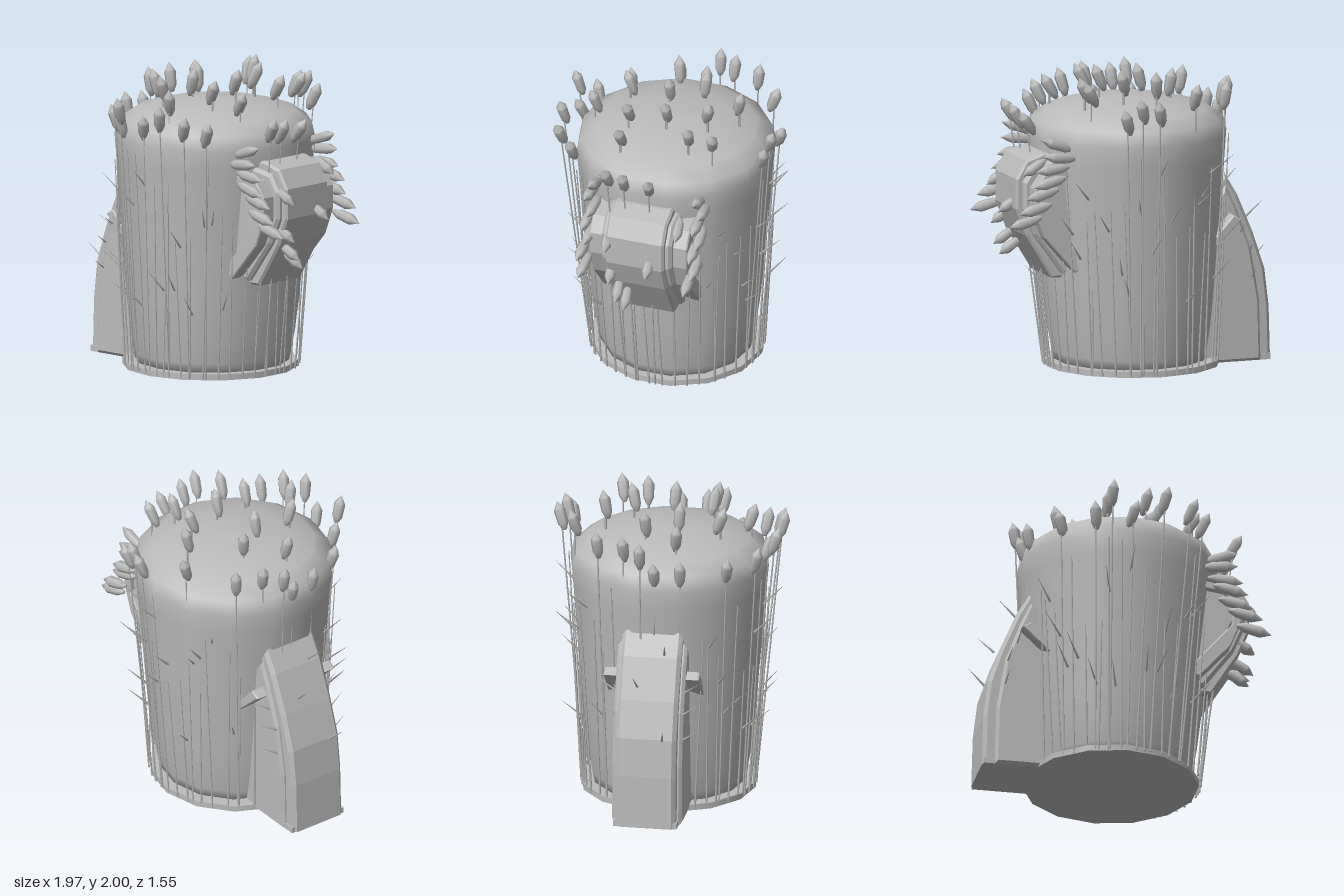
import * as THREE from 'three';

export function createModel() {
  const root = new THREE.Group();
  const grey = new THREE.MeshStandardMaterial({ color: 0xbbbbbb });
  grey.name = 'plain grey';
  const up = new THREE.Vector3(0, 1, 0);
  const V = (x, y, z) => new THREE.Vector3(x, y, z);

  let seed = 7;
  const rand = (a, b) => {
    seed = (seed * 16807) % 2147483647;
    return a + (b - a) * (seed / 2147483647);
  };
  const add = (geo, name, parent = root) => {
    const m = new THREE.Mesh(geo, grey);
    m.name = name;
    parent.add(m);
    return m;
  };
  const group = (name) => {
    const g = new THREE.Group();
    g.name = name;
    root.add(g);
    return g;
  };

  // Trunk: smooth lathe, drawn in at the foot and leaning slightly towards +x
  const profile = [[0, 0.03], [0.5, 0.03], [0.515, 0.1], [0.54, 0.25], [0.567, 0.5], [0.61, 1],
    [0.643, 1.4], [0.655, 1.53], [0.632, 1.63], [0.53, 1.7], [0.36, 1.745], [0.18, 1.77], [0, 1.78]];
  const trunk = new THREE.LatheGeometry(profile.map(([r, y]) => new THREE.Vector2(r, y)), 14);
  const p = trunk.attributes.position;
  const lean = (y) => 0.005 + 0.016 * y;
  for (let i = 0; i < p.count; i++) p.setXYZ(i, p.getX(i) + lean(p.getY(i)), p.getY(i), p.getZ(i) + 0.015);
  add(trunk, 'trunk');

  // Point on the straight cone around the trunk, where stalks stand
  const onCone = (a, y, gap = 0) => {
    const r = 0.57 + 0.062 * y + gap;
    return V(lean(y) + Math.cos(a) * r, y, 0.015 + Math.sin(a) * r);
  };

  // Base plate
  const plate = add(new THREE.CylinderGeometry(0.575, 0.575, 0.04, 14), 'basePlate');
  plate.position.set(-0.01, 0.02, 0.015);

  // Bevelled slab cut from a side profile, centred across z
  const slab = (name, points, width, z, bevel) => {
    const geo = new THREE.ExtrudeGeometry(
      new THREE.Shape(points.map(([x, y]) => new THREE.Vector2(x, y))),
      { depth: width - 2 * bevel, bevelEnabled: true, bevelThickness: bevel, bevelSize: bevel,
        bevelOffset: -bevel, bevelSegments: 1 });
    geo.translate(0, 0, z - width / 2 + bevel);
    return add(geo, name);
  };

  // Tall buttress on the right side
  slab('buttressRidge', [[-0.4, 0], [-0.4, 1.05], [-0.48, 1.12], [-0.58, 1.25], [-0.67, 1.1],
    [-0.78, 0.84], [-0.86, 0.6], [-0.89, 0.35], [-0.9, 0]], 0.4, 0.01, 0.025);
  slab('buttressStep', [[-0.4, 0], [-0.4, 0.95], [-0.48, 1.05], [-0.58, 1.17], [-0.65, 1.02],
    [-0.75, 0.75], [-0.81, 0.4], [-0.82, 0]], 0.46, 0.01, 0.02);
  slab('buttressBrace', [[-0.36, 0.68], [-0.36, 0.76], [-0.46, 0.84], [-0.595, 0.99], [-0.655, 0.955]],
    0.63, 0.01, 0.008);
  const foot = add(new THREE.BoxGeometry(0.5, 0.04, 0.42), 'buttressFoot');
  foot.position.set(-0.64, 0.02, 0.01);

  // Hooked stub on the left side
  slab('stubRidge', [[0.4, 0.63], [0.62, 0.63], [0.8, 0.92], [0.87, 1.1], [0.87, 1.3], [0.8, 1.42],
    [0.68, 1.46], [0.4, 1.46]], 0.4, 0.025, 0.015);
  slab('stubStep', [[0.4, 0.67], [0.56, 0.66], [0.76, 0.93], [0.83, 1.1], [0.83, 1.28], [0.76, 1.39],
    [0.6, 1.42], [0.4, 1.42]], 0.48, 0.025, 0.02);
  slab('stubPanel', [[0.4, 0.78], [0.5, 0.78], [0.7, 1], [0.75, 1.12], [0.75, 1.24], [0.68, 1.33],
    [0.4, 1.36]], 0.6, 0.025, 0.02);
  // band wrapped round the panel's outer edge
  slab('stubBand', [[0.43, 0.73], [0.51, 0.68], [0.72, 0.92], [0.79, 1.1], [0.79, 1.25], [0.72, 1.35],
    [0.4, 1.39], [0.4, 1.34], [0.68, 1.3], [0.73, 1.22], [0.73, 1.08]], 0.67, 0.025, 0.008);

  // Tapered rod between two points
  const rod = (a, b, r0, r1, name, parent) => {
    const d = b.clone().sub(a);
    const m = add(new THREE.CylinderGeometry(r1, r0, d.length(), 4), name, parent);
    m.position.copy(a).add(b).multiplyScalar(0.5);
    m.quaternion.setFromUnitVectors(up, d.normalize());
  };

  // Pointed six-sided bud
  const budGeo = new THREE.LatheGeometry([[0, -0.1], [0.014, -0.095], [0.035, -0.05], [0.039, 0.035],
    [0.032, 0.05], [0, 0.1]].map(([r, y]) => new THREE.Vector2(r, y)), 6);
  const bud = (pos, dir, parent, width = 1, length = 1) => {
    const m = add(budGeo, 'bud', parent);
    m.position.copy(pos);
    m.quaternion.setFromUnitVectors(up, dir.clone().normalize());
    m.scale.set(width, length, width);
  };

  // Crown buds, each x, z and height
  const crown = group('crownBuds');
  [[-0.02, -0.4, 1.9], [0.15, -0.24, 1.9], [0.42, -0.36, 1.86], [0.4, -0.19, 1.86], [-0.23, -0.1, 1.86],
    [-0.39, 0.13, 1.83], [-0.09, 0.1, 1.87], [0.22, 0.02, 1.9], [0.25, 0.27, 1.87], [0.48, 0.25, 1.82],
    [-0.1, 0.37, 1.86], [0.12, 0.54, 1.82], [-0.63, -0.07, 1.78], [-0.56, -0.19, 1.8], [-0.51, -0.37, 1.8],
    [-0.6, 0.02, 1.64], [-0.59, 0.19, 1.66], [-0.43, 0.47, 1.64], [-0.23, 0.63, 1.65], [-0.14, 0.74, 1.76],
    [0.01, 0.67, 1.66], [0.21, 0.73, 1.75], [0.39, 0.69, 1.7], [0.49, 0.58, 1.66], [0.74, -0.03, 1.64],
    [0.75, 0.14, 1.66], [0.76, 0.25, 1.68], [-0.23, -0.57, 1.84], [0.07, -0.71, 1.77],
    [0.18, -0.68, 1.79], [0.28, -0.66, 1.72]].forEach(([x, z, y]) => {
    const out = V(x - 0.03, 0, z - 0.015), r = out.length();
    // buds tip outwards, more strongly on the +x half
    const dir = V(out.x, 0, out.z).multiplyScalar(0.3 / Math.max(r, 0.35))
      .add(V(x > -0.1 ? rand(0.15, 0.4) : rand(-0.1, 0.15), 1, rand(-0.1, 0.1)));
    const pos = V(x, y, z);
    bud(pos, dir, crown);
    // rim buds stand on long stalks, inner ones on short stubs
    if (r > 0.52) rod(onCone(Math.atan2(out.z, out.x), 0.01), pos, 0.006, 0.005, 'stalk', crown);
    else rod(V(x, 1.68, z), pos, 0.008, 0.008, 'stalk', crown);
  });

  // Two rows of buds flanking the stub, plus a few strays over it
  const stubBuds = group('stubBuds');
  const row = [[0.65, 1.54, 0.35], [0.64, 1.46, 0.1], [0.68, 1.38, -0.1], [0.71, 1.3, -0.25],
    [0.75, 1.22, -0.25], [0.81, 1.13, -0.25], [0.87, 1.04, -0.25]];
  [[0.37, 1], [-0.34, -1]].forEach(([z, s]) => row.forEach(([x, y, slope], i) =>
    bud(V(x, y, z + (i % 2) * 0.03 * s), V(1, slope, 0.05 * s), stubBuds, 0.95, 1.2)));
  [[0.83, 1, 0.2], [0.83, 0.87, 0.15], [0.81, 0.81, 0.1], [0.85, 1.25, 0.22], [0.88, 1.12, -0.07],
    [0.77, 1.38, -0.24]].forEach(([x, y, z]) => bud(V(x, y, z), V(1, -0.6, -0.1), stubBuds, 0.9, 0.95));

  // Thin stalks standing round the trunk
  const stalks = group('stalks');
  for (let i = 0; i < 42; i++) {
    const a = (i + rand(-0.2, 0.2)) / 42 * Math.PI * 2;
    if (Math.abs(a - Math.PI) < 0.35) continue;
    const top = Math.abs(Math.sin(a)) < 0.5 && Math.cos(a) > 0 ? rand(0.65, 0.85) : rand(0.9, 1.55);
    rod(onCone(a, 0.01), onCone(a + rand(-0.05, 0.05), top), 0.007, 0.004, 'stalk', stalks);
  }

  // Thorns pointing out and up
  const thorns = group('thorns');
  for (let i = 0; i < 46; i++) {
    const a = i * 2.39996;
    if (Math.abs(Math.cos(a)) > 0.85) continue;
    const start = onCone(a, rand(0.4, 1.35), -0.03);
    const end = start.clone().add(V(Math.cos(a) * 0.13 + rand(-0.04, 0.04), 0.13, Math.sin(a) * 0.13));
    rod(start, end, 0.009, 0.001, 'thorn', thorns);
  }
  [[-0.87, 0.6, 0.12], [-0.77, 0.93, -0.06], [-0.66, 1.12, 0.1]].forEach(([x, y, z]) =>
    rod(V(x, y, z), V(x - 0.11, y + 0.1, z * 1.2), 0.009, 0.001, 'thorn', thorns));
  [[-0.74, 0.72], [-0.68, 0.85], [-0.76, 0.55]].forEach(([x, y]) => [1, -1].forEach((s) =>
    rod(V(x, y, 0.2 * s), V(x + 0.02, y + 0.08, 0.33 * s), 0.009, 0.001, 'thorn', thorns)));

  return root;
}
